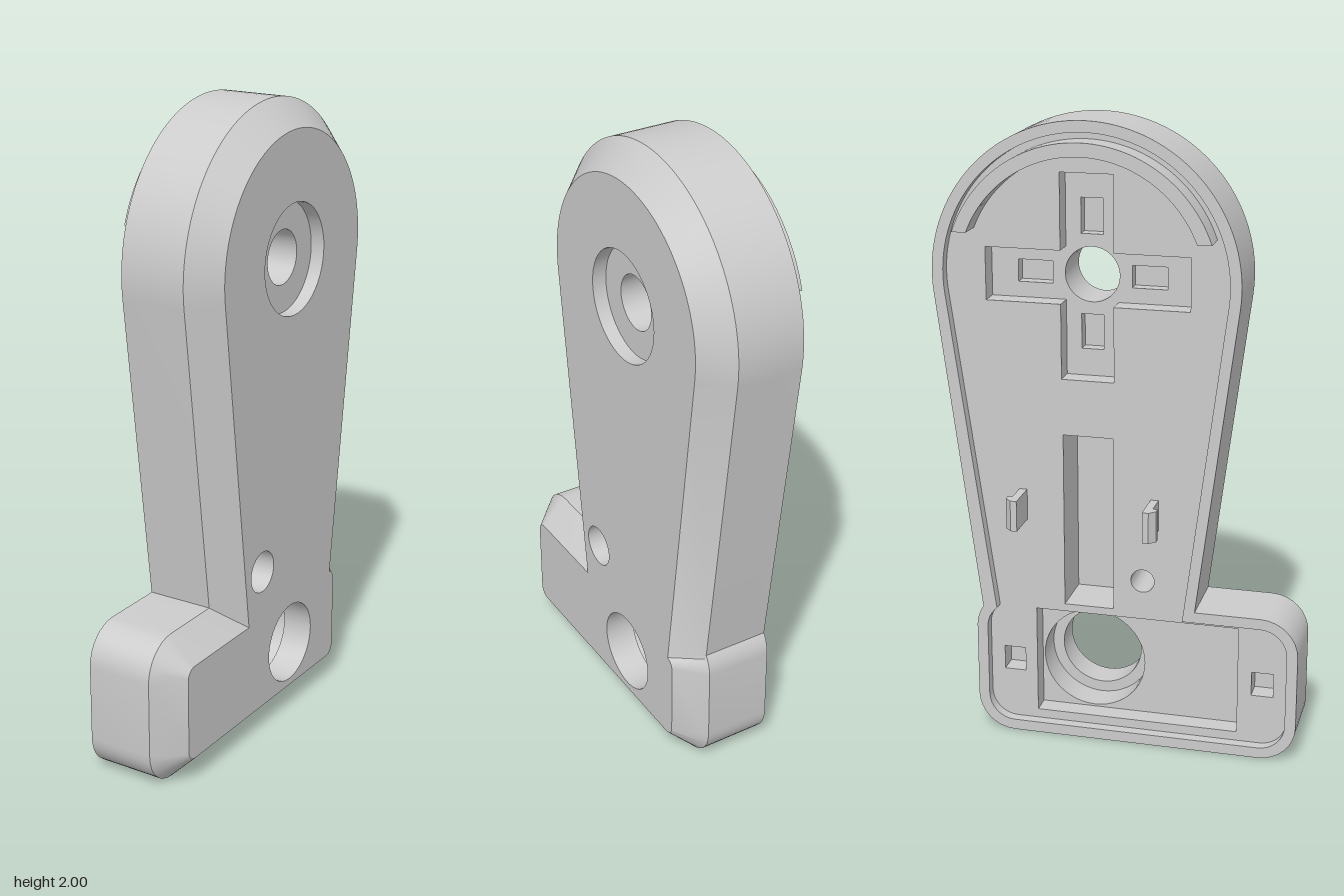
import * as THREE from 'three';
import { mergeGeometries, toCreasedNormals } from 'three/addons/utils/BufferGeometryUtils.js';

const TAU = Math.PI * 2, rad = THREE.MathUtils.degToRad;
const material = new THREE.MeshStandardMaterial({ color: 0xcccccc });

// Profiles are drawn in (a, y) with a = -z; depth is x.
function arc(cx, cy, r, from, to, n) {
  return Array.from({ length: n + 1 }, (_, i) => {
    const t = rad(from + (to - from) * i / n);
    return new THREE.Vector2(cx + r * Math.cos(t), cy + r * Math.sin(t));
  });
}
const circle = (cx, cy, r, n = 48) => arc(cx, cy, r, 0, 360, n).slice(0, -1);
const poly = (...p) => p.map(([a, y]) => new THREE.Vector2(a, y));
const rect = (a0, y0, a1, y1) => poly([a0, y0], [a1, y0], [a1, y1], [a0, y1]);

// Plate outline, inset by d: rounded foot with a tapered arm and round head
function outline(d) {
  const r = 0.48 - d, c = 0.12 - d, tilt = 7.3, s = rad(tilt), top = 0.48 - d;
  const armA = 0.1 - (r + (top - 1.52) * Math.sin(s)) / Math.cos(s);
  return [
    ...arc(-0.46, 0.12, c, 180, 270, 8),
    ...arc(0.345, 0.12, c, 270, 360, 8),
    ...arc(0.345, 0.36, c, 0, 35 + 40 * d / 0.085, 6),
    ...arc(0.1, 1.52, r, -tilt, 180 + tilt, 64),
    new THREE.Vector2(armA, top),
    ...arc(-0.46, 0.36, c, 90, 180, 8),
  ];
}

// Wall between two matching loops; inward walls line holes and recesses
function wall(p, x0, q, x1, inward = false) {
  const pos = [], idx = [], n = p.length;
  for (let i = 0; i < n; i++) pos.push(p[i].x, p[i].y, x0, q[i].x, q[i].y, x1);
  for (let i = 0; i < n; i++) {
    const a = 2 * i, b = 2 * ((i + 1) % n);
    if (inward) idx.push(a, b + 1, b, a, a + 1, b + 1);
    else idx.push(a, b, b + 1, a, b + 1, a + 1);
  }
  const g = new THREE.BufferGeometry();
  g.setAttribute('position', new THREE.Float32BufferAttribute(pos, 3));
  g.setIndex(idx);
  return toCreasedNormals(g, 0.5);
}
const bore = (p, x0, x1) => wall(p, x0, p, x1, true);

// Flat face at depth x, towards +x or -x
function face(p, holes, x, towards) {
  const shape = new THREE.Shape(p);
  shape.holes = holes.map(h => new THREE.Path(h));
  const g = new THREE.ShapeGeometry(shape).translate(0, 0, x);
  g.deleteAttribute('uv');
  if (towards < 0) g.setIndex([...g.index.array].reverse());
  g.computeVertexNormals();
  return g.toNonIndexed();
}

export function createModel() {
  const group = new THREE.Group();
  const add = (name, geometry) => {
    const m = new THREE.Mesh(geometry, material);
    m.name = name;
    group.add(m);
  };
  const addParts = (name, parts) => add(name, mergeGeometries(parts).rotateY(Math.PI / 2));

  // Depth levels from back to front
  const back = -0.11, floor = -0.075, recess = -0.01, pocket = 0.03, deep = 0.09;
  const shoulder = 0.105, seat = 0.145, front = 0.19;

  const outer = outline(0), lip = outline(0.035), bevel = outline(0.085);
  const hub = circle(0.1, 1.52, 0.086), hubSeat = circle(0.1, 1.52, 0.175);
  const pin = circle(-0.075, 0.555, 0.038, 32), pinSeat = circle(-0.075, 0.555, 0.067, 32);
  const shaft = circle(0.1, 0.24, 0.132), shaftSeat = circle(0.1, 0.24, 0.168);
  const slot = rect(0.02, 0.45, 0.18, 1.02);
  const bay = rect(-0.385, 0.065, 0.275, 0.425);
  const sockets = [rect(-0.5, 0.2, -0.43, 0.28), rect(0.315, 0.2, 0.385, 0.28)];
  const L = 0.32, W = 0.083;
  const cross = poly([-W, -L], [W, -L], [W, -W], [L, -W], [L, W], [W, W],
    [W, L], [-W, L], [-W, W], [-L, W], [-L, -W], [-W, -W])
    .map(p => p.add(new THREE.Vector2(0.1, 1.52)));
  const pockets = [[0.18, 0], [-0.18, 0], [0, 0.18], [0, -0.18]].map(([a, y]) => {
    const w = a ? 0.055 : 0.035, h = a ? 0.035 : 0.055;
    return rect(0.1 + a - w, 1.52 + y - h, 0.1 + a + w, 1.52 + y + h);
  });

  // Outer shell: straight edge, bevel, front face and rear rim
  addParts('shell', [
    wall(outer, back, outer, shoulder),
    wall(outer, shoulder, bevel, front),
    face(bevel, [hubSeat, pinSeat, shaft], front, 1),
    face(outer, [lip], back, -1),
    bore(lip, back, floor),
  ]);
  addParts('rearFloor', [face(lip, [cross, slot, bay, pin, ...sockets], floor, -1)]);

  // Cross-shaped recess with its four pockets and hub hole
  addParts('crossRecess', [
    bore(cross, floor, recess),
    face(cross, [hub, ...pockets], recess, -1),
    ...pockets.flatMap(p => [bore(p, recess, pocket), face(p, [], pocket, -1)]),
    bore(hub, recess, seat),
    face(hubSeat, [hub], seat, 1),
    bore(hubSeat, seat, front),
  ]);

  // Foot bay with the stepped shaft hole
  addParts('footBay', [
    bore(bay, floor, recess),
    face(bay, [shaftSeat], recess, -1),
    bore(shaftSeat, recess, deep),
    face(shaftSeat, [shaft], deep, -1),
    bore(shaft, deep, front),
  ]);
  addParts('longSlot', [bore(slot, floor, deep), face(slot, [], deep, -1)]);
  addParts('pinHole', [
    bore(pin, floor, deep),
    face(pinSeat, [pin], deep, 1),
    bore(pinSeat, deep, front),
  ]);
  addParts('sockets', sockets.flatMap(p => [bore(p, floor, recess), face(p, [], recess, -1)]));

  // Curved locating rib around the head
  const rib = new THREE.Shape([
    ...arc(0.1, 1.52, 0.422, 19.4, 160.6, 48),
    ...arc(0.1, 1.52, 0.38, 158.4, 21.6, 48),
  ]);
  const ribGeo = new THREE.ExtrudeGeometry(rib, { depth: 0.08, bevelEnabled: false });
  add('locatingRib', toCreasedNormals(ribGeo.translate(0, 0, -0.155), 0.5).rotateY(Math.PI / 2));

  // Pair of snap hooks, mirrored about the arm's centre line z = -0.1
  for (const side of [1, -1]) {
    const hook = new THREE.Shape(poly([floor, 0.2], [-0.19, 0.2], [-0.19, 0.22], [-0.17, 0.24],
      [-0.15, 0.24], [-0.15, 0.225], [floor, 0.225]).map(p => p.set(p.x, -0.1 + side * p.y)));
    const g = new THREE.ExtrudeGeometry(hook, { depth: 0.1, bevelEnabled: false });
    add(side > 0 ? 'frontHook' : 'rearHook', g.rotateX(Math.PI / 2).translate(0, 0.83, 0));
  }
  return group;
}
